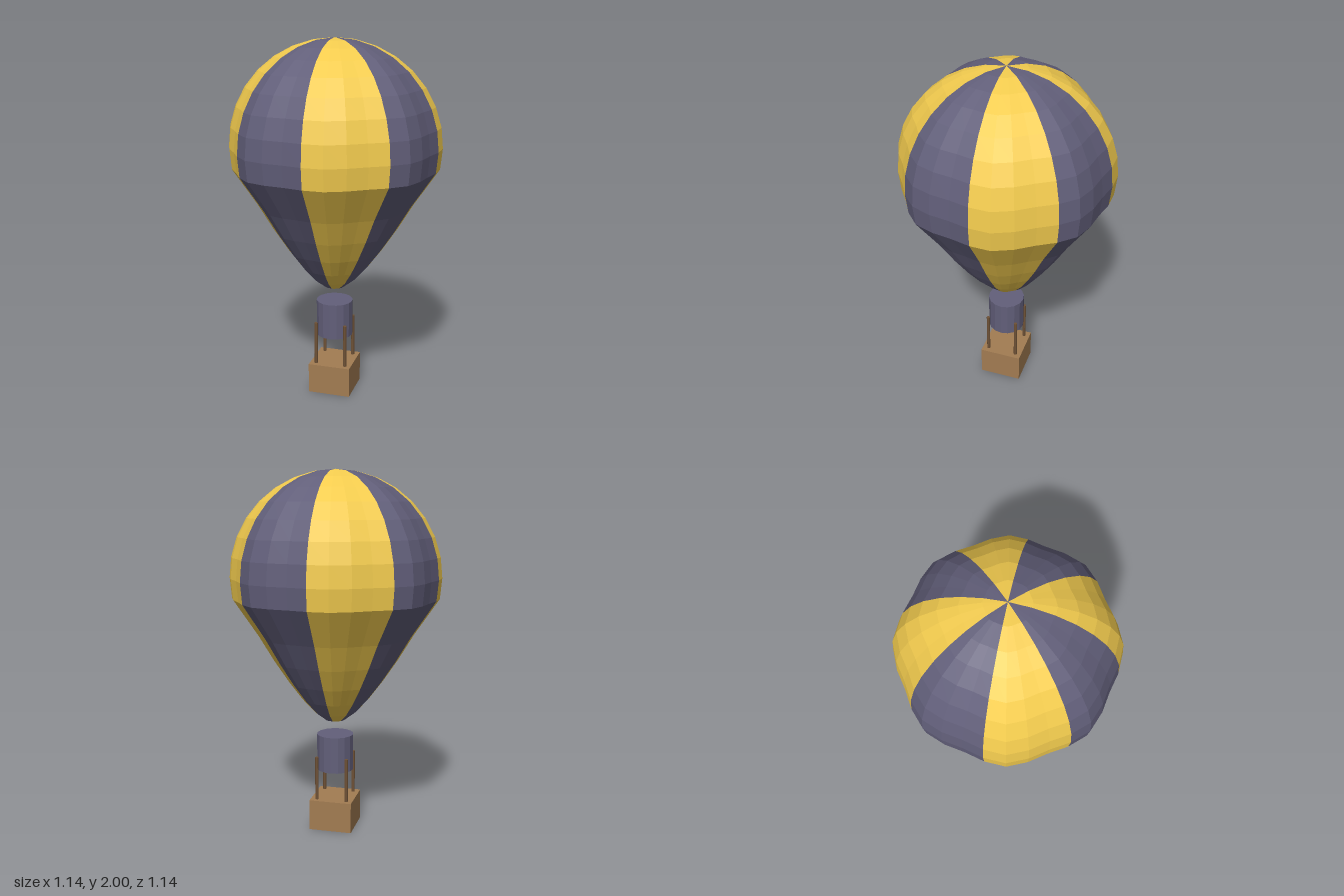
import * as THREE from 'three';

const YELLOW = 0xf2cb4e, SLATE = 0x625f7a, WICKER = 0xa27c52, WOOD = 0x6e5136;
const GORES = 8;
const CENTER_Y = 1.42, RADIUS = 0.566, HALF_HEIGHT = 0.58;

function part(name, geometry, color, x = 0, y = 0, z = 0) {
  const material = new THREE.MeshStandardMaterial({ color, flatShading: true });
  const mesh = new THREE.Mesh(geometry, material);
  mesh.name = name;
  mesh.position.set(x, y, z);
  return mesh;
}

// One slice of a unit sphere, rippled around the axis and drawn out to a point below
function goreGeometry(index) {
  const step = (Math.PI * 2) / GORES;
  const geometry = new THREE.SphereGeometry(1, 4, 16, index * step, step);
  const p = geometry.attributes.position;
  for (let i = 0; i < p.count; i++) {
    const x = p.getX(i), y = p.getY(i), z = p.getZ(i);
    const ripple = 1 + 0.0265 * Math.sin(GORES * Math.atan2(z, -x));
    const low = y < -0.2;
    const r = RADIUS * ripple * (low ? 1 + 0.5 * y : 1);
    p.setXYZ(i, x * r, y * HALF_HEIGHT * (low ? 1.4 : 1), z * r);
  }
  geometry.computeVertexNormals();
  return geometry;
}

export function createModel() {
  const model = new THREE.Group();
  model.name = 'hotAirBalloon';

  // Envelope of alternating coloured gores
  const envelope = new THREE.Group();
  envelope.name = 'envelope';
  envelope.position.y = CENTER_Y;
  for (let i = 0; i < GORES; i++) {
    envelope.add(part('gore', goreGeometry(i), i % 2 ? SLATE : YELLOW));
  }
  model.add(envelope);

  // Burner drum
  model.add(part('burner', new THREE.CylinderGeometry(0.103, 0.103, 0.205, 16), SLATE, 0, 0.437, 0));

  // Four uprights at the basket corners
  for (const x of [-0.085, 0.085]) {
    for (const z of [-0.085, 0.085]) {
      model.add(part('upright', new THREE.CylinderGeometry(0.01, 0.01, 0.25, 8), WOOD, x, 0.293, z));
    }
  }

  // Basket
  model.add(part('basket', new THREE.BoxGeometry(0.24, 0.172, 0.24), WICKER, 0, 0.086, 0));

  return model;
}
